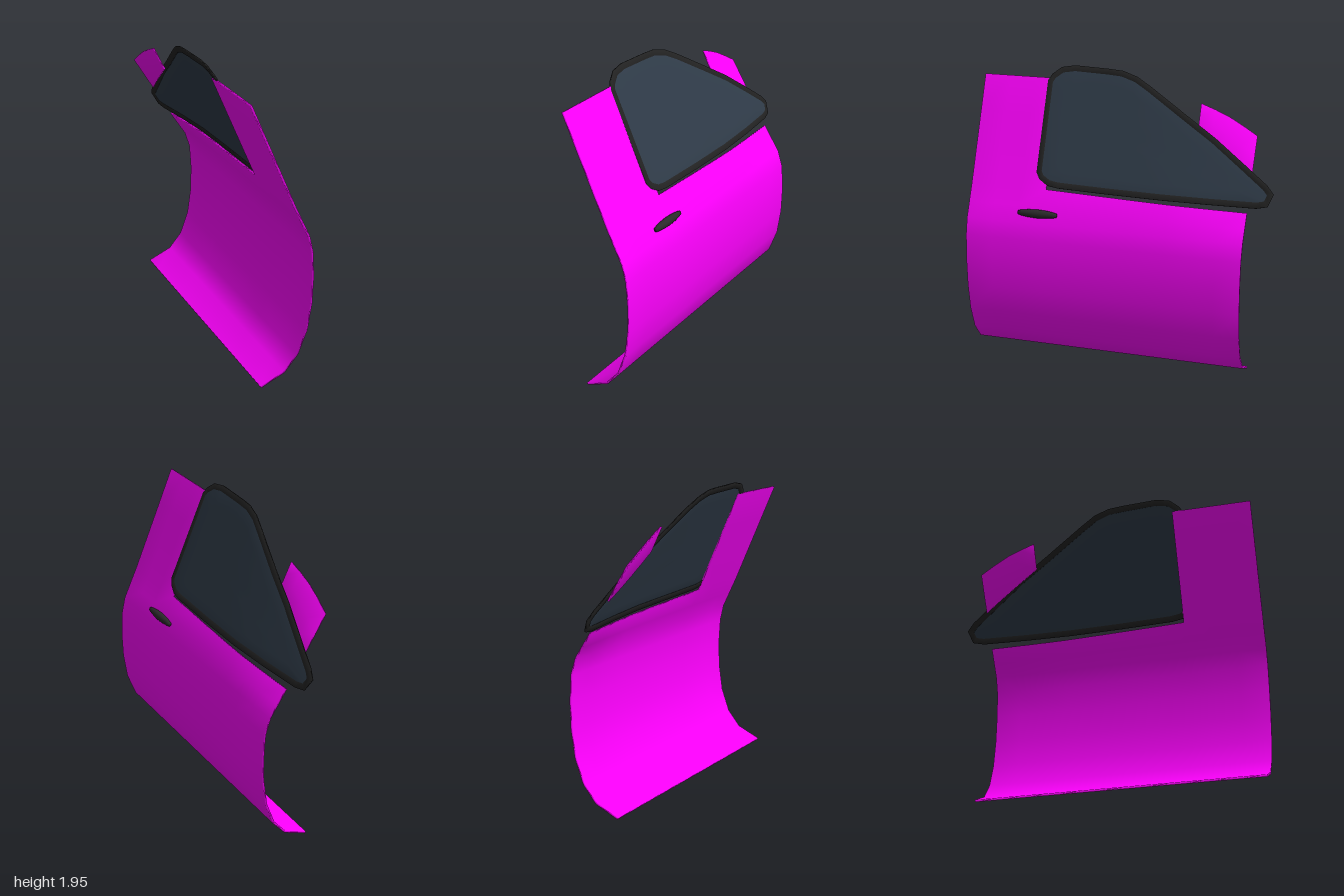
import * as THREE from 'three';
import { mergeVertices } from 'three/addons/utils/BufferGeometryUtils.js';

// Thin solid sheet over a grid of points; pos(i, j) gives a point, has(i, j) tells which cells exist.
function shell(nc, nr, pos, thickness, has = () => true, closed = false) {
  const outer = [];
  for (let j = 0; j <= nr; j++) for (let i = 0; i <= nc; i++) outer.push(...pos(i, j));
  const id = (i, j) => j * (nc + 1) + (closed ? i % nc : i);
  const cell = (i, j) => {
    if (closed) i = (i + nc) % nc;
    return i >= 0 && j >= 0 && i < nc && j < nr && has(i, j);
  };
  const quad = (list, a, b, c, d) => list.push(a, b, c, a, c, d);
  const front = [];
  for (let j = 0; j < nr; j++) for (let i = 0; i < nc; i++)
    if (cell(i, j)) quad(front, id(i, j), id(i + 1, j), id(i + 1, j + 1), id(i, j + 1));

  // inner layer lies behind the outer one along its normals
  const face = new THREE.BufferGeometry();
  face.setAttribute('position', new THREE.Float32BufferAttribute(outer, 3));
  face.setIndex(front);
  face.computeVertexNormals();
  const n = face.attributes.normal.array;
  const all = outer.concat(outer.map((v, k) => v - thickness * n[k]));

  const N = outer.length / 3;
  const index = front.slice();
  for (let k = 0; k < front.length; k += 3) index.push(front[k] + N, front[k + 2] + N, front[k + 1] + N);
  const wall = (a, b) => quad(index, b, a, a + N, b + N);
  for (let j = 0; j < nr; j++) for (let i = 0; i < nc; i++) {
    if (!cell(i, j)) continue;
    const a = id(i, j), b = id(i + 1, j), c = id(i + 1, j + 1), d = id(i, j + 1);
    if (!cell(i, j - 1)) wall(a, b);
    if (!cell(i + 1, j)) wall(b, c);
    if (!cell(i, j + 1)) wall(c, d);
    if (!cell(i - 1, j)) wall(d, a);
  }
  const g = new THREE.BufferGeometry();
  g.setAttribute('position', new THREE.Float32BufferAttribute(all, 3));
  g.setIndex(index);
  const merged = mergeVertices(g, 1e-5);
  merged.computeVertexNormals();
  return merged;
}

// Outer cross-section of the door as [x, y], bottom to top
const PROFILE = [
  [-0.105, 0], [0.055, 0.07], [0.147, 0.18], [0.206, 0.34], [0.232, 0.52],
  [0.237, 0.7], [0.226, 0.87], [0.2, 0.98], [0.1, 1.19], [-0.195, 1.865],
];

function skinX(y, z) {
  let k = 0;
  while (k < PROFILE.length - 2 && y > PROFILE[k + 1][1]) k++;
  const [x0, y0] = PROFILE[k], [x1, y1] = PROFILE[k + 1];
  const x = x0 + (x1 - x0) * (y - y0) / (y1 - y0);
  // the upper leading end bends inward
  const t = Math.max(0, (-z - 0.25) / 0.6);
  return x - 0.18 * Math.max(0, y - 0.93) * Math.pow(t, 1.4);
}

// Window outline as [z, y]
const OUTLINE = [
  [0.555, 1.85], [0.53, 1.89], [0.47, 1.935], [0.38, 1.95], [0.15, 1.942], [0.05, 1.935], [-0.05, 1.905],
  [-0.15, 1.85], [-0.4, 1.695], [-0.6, 1.57], [-0.8, 1.425], [-0.955, 1.31], [-1, 1.26],
  [-0.97, 1.187], [-0.9, 1.175], [-0.6, 1.182], [-0.3, 1.189], [0.05, 1.196], [0.4, 1.205],
  [0.47, 1.215], [0.53, 1.25], [0.555, 1.29], [0.555, 1.57],
];

function inset(points, d) {
  const n = points.length;
  const normal = (a, b) => new THREE.Vector2(b[1] - a[1], b[0] - a[0]).normalize();
  return points.map((p, i) => {
    const n1 = normal(points[(i + n - 1) % n], p), n2 = normal(p, points[(i + 1) % n]);
    const m = n1.clone().add(n2).normalize();
    m.multiplyScalar(d / Math.max(0.6, m.dot(n1)));
    return [p[0] - m.x, p[1] + m.y];
  });
}

function panePoint(z, y) {
  const bend = 0.08 * Math.pow(Math.max(0, (-z - 0.15) / 0.85), 1.5);
  return [0.108 - 0.447 * (y - 1.19) - bend, y, z];
}

export function createModel() {
  const group = new THREE.Group();
  const add = (name, geometry, color) => {
    const material = new THREE.MeshStandardMaterial({ color });
    const mesh = new THREE.Mesh(geometry, material);
    mesh.name = name;
    group.add(mesh);
    return mesh;
  };
  const paint = 0xff00ff;

  // door skin with the rear pillar beside the window opening
  const zs = [1, 0.82, 0.65, 0.48, 0.2, -0.1, -0.35, -0.52, -0.68, -0.85];
  const ys = [...PROFILE.slice(0, 8).map(p => p[1]), 1.08, 1.19, 1.42, 1.64, 1.865];
  const belt = 9;
  add('doorSkin', shell(zs.length - 1, ys.length - 1, (i, j) => {
    const z = zs[i];
    const drop = z < 0.48 ? 0.03 * (0.48 - z) : 0;
    const y = ys[j] - drop * THREE.MathUtils.clamp((ys[j] - 0.98) / 0.21, 0, 1);
    return [skinX(y, z), y, z];
  }, 0.015, (i, j) => j < belt || i < 3), paint);

  // short front pillar piece above the window's sloping edge
  const top = [[-0.48, 1.765], [-0.57, 1.73], [-0.66, 1.69], [-0.755, 1.637], [-0.85, 1.58]];
  add('frontPillar', shell(4, 2, (i, j) => {
    const [z, yTop] = top[i];
    const yLow = 1.61 + (z + 0.48) * 0.68;
    const y = yLow + (yTop - yLow) * j / 2;
    return [skinX(y, z), y, z];
  }, 0.012), paint);

  // window seal and glass
  const inner = inset(OUTLINE, 0.035);
  const n = OUTLINE.length;
  add('windowSeal', shell(n, 1, (i, j) => panePoint(...(j ? OUTLINE : inner)[i % n]), 0.012, undefined, true), 0x222222);
  const centre = [0, 1.5], rings = 5;
  add('windowGlass', shell(n, rings, (i, j) => {
    const p = inner[i % n], s = j / rings;
    return panePoint(centre[0] + (p[0] - centre[0]) * s, centre[1] + (p[1] - centre[1]) * s);
  }, 0.006, undefined, true), 0x2f3b48);

  // door handle, tapered to both ends
  const half = [[0.0001, 0.135], [0.014, 0.132], [0.02, 0.105], [0.026, 0.06], [0.029, 0]];
  const bar = [...half, ...half.slice(0, -1).reverse().map(([r, h]) => [r, -h])];
  const handle = add('doorHandle',
    new THREE.LatheGeometry(bar.reverse().map(p => new THREE.Vector2(...p)), 16), 0x2a2a2a);
  handle.rotation.x = Math.PI / 2;
  handle.scale.x = 0.9;
  handle.position.set(0.183, 1.045, 0.51);

  return group;
}
